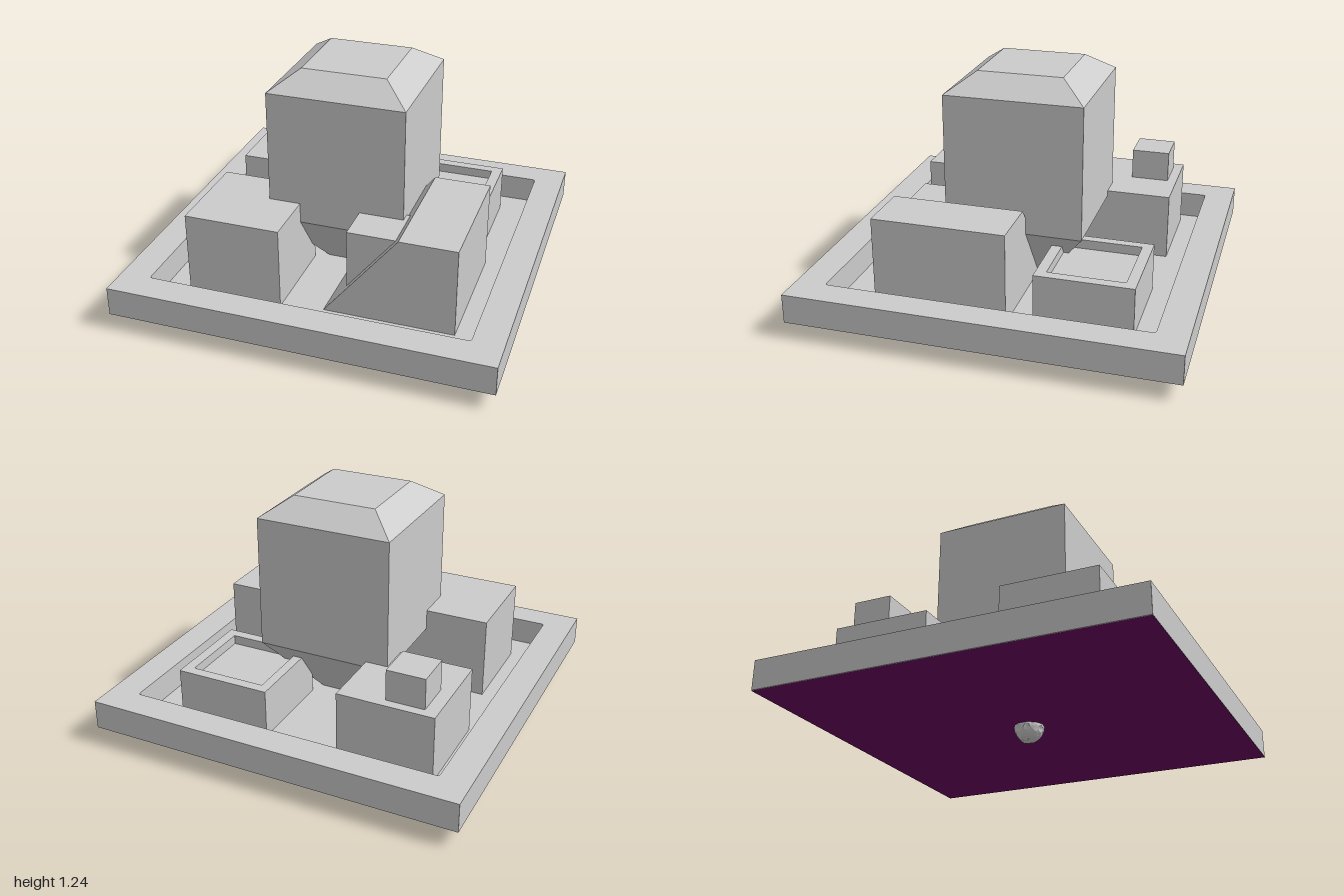
import * as THREE from 'three';

const grey = new THREE.MeshStandardMaterial({ color: 0xcccccc, flatShading: true });
const purple = new THREE.MeshStandardMaterial({ color: 0x6a0560 });
const FLOOR = 0.1;

export function createModel() {
  const model = new THREE.Group();

  const add = (name, geometry, material = grey) => {
    const mesh = new THREE.Mesh(geometry, material);
    mesh.name = name;
    model.add(mesh);
    return mesh;
  };

  const box = (name, x0, x1, y0, y1, z0, z1) =>
    add(name, new THREE.BoxGeometry(x1 - x0, y1 - y0, z1 - z0))
      .position.set((x0 + x1) / 2, (y0 + y1) / 2, (z0 + z1) / 2);

  // Traces a rectangle with rounded corners
  const rect = (path, x0, x1, y0, y1, r) => {
    path.moveTo(x0 + r, y0);
    path.lineTo(x1 - r, y0);
    path.quadraticCurveTo(x1, y0, x1, y0 + r);
    path.lineTo(x1, y1 - r);
    path.quadraticCurveTo(x1, y1, x1 - r, y1);
    path.lineTo(x0 + r, y1);
    path.quadraticCurveTo(x0, y1, x0, y1 - r);
    path.lineTo(x0, y0 + r);
    path.quadraticCurveTo(x0, y0, x0 + r, y0);
    return path;
  };

  // Horizontal rectangular ring: outer and inner are [x0, x1, z0, z1]
  const ring = (name, outer, inner, y0, y1, r = 0.001) => {
    const flip = ([a, b, c, d]) => [a, b, -d, -c];
    const shape = rect(new THREE.Shape(), ...flip(outer), 0.001);
    shape.holes.push(rect(new THREE.Path(), ...flip(inner), r));
    const geometry = new THREE.ExtrudeGeometry(shape, { depth: y1 - y0, bevelEnabled: false, curveSegments: 3 });
    add(name, geometry.rotateX(-Math.PI / 2).translate(0, y0, 0));
  };

  // Square frustum from half-widths
  const frustum = (name, bottom, top, y0, y1) => {
    const geometry = new THREE.CylinderGeometry(top * Math.SQRT2, bottom * Math.SQRT2, y1 - y0, 4);
    add(name, geometry.rotateY(Math.PI / 4).translate(0, (y0 + y1) / 2, 0));
  };

  // Square tray: rim, floor and coloured underside
  ring('trayRim', [-1, 1, -1, 1], [-0.84, 0.84, -0.84, 0.84], 0.09, 0.245, 0.015);
  add('trayFloor', new THREE.PlaneGeometry(1.7, 1.7).rotateX(-Math.PI / 2)).position.y = FLOOR;
  add('trayUnderside', new THREE.PlaneGeometry(2, 2).rotateX(Math.PI / 2), purple).position.y = 0.087;

  // Central tower on a narrowing foot, with a chamfered roof
  frustum('towerFoot', 0.125, 0.365, FLOOR, 0.43);
  box('towerBody', -0.365, 0.365, 0.43, 1.14, -0.365, 0.365);
  frustum('towerRoof', 0.365, 0.225, 1.14, 1.24);

  // Front block on the -x side
  box('plainBlock', -0.705, -0.195, FLOOR, 0.54, 0.16, 0.67);

  // Rear block with a small cube on top
  box('rearBlock', -0.76, -0.245, FLOOR, 0.46, -0.71, -0.2);
  box('rearBlockCube', -0.69, -0.485, 0.46, 0.625, -0.66, -0.455);

  // Low rear block with a sunken top
  box('lowBlock', 0.155, 0.665, FLOOR, 0.31, -0.705, -0.195);
  ring('lowBlockRim', [0.155, 0.665, -0.705, -0.195], [0.205, 0.61, -0.65, -0.25], 0.31, 0.36);

  // Block with one sloping side and a box set into the slope
  const slope = new THREE.Shape([[0.025, FLOOR], [0.715, FLOOR], [0.715, 0.58], [0.415, 0.58]]
    .map(([x, y]) => new THREE.Vector2(x, y)));
  add('slopedBlock', new THREE.ExtrudeGeometry(slope, { depth: 0.7, bevelEnabled: false })).position.z = -0.07;
  box('slopeBox', 0.13, 0.385, FLOOR, 0.545, 0.31, 0.57);

  // Small rough knob below the tray
  const knob = new THREE.IcosahedronGeometry(0.078, 4);
  const p = knob.attributes.position;
  const v = new THREE.Vector3();
  for (let i = 0; i < p.count; i++) {
    v.fromBufferAttribute(p, i);
    const bump = Math.sin(v.x * 110) * Math.sin(v.y * 130 + 1) * Math.sin(v.z * 120 + 2);
    const spur = v.x > 0.06 && v.y < -0.01 ? 1.12 : 1;
    v.multiplyScalar((1 + 0.06 * bump) * spur);
    p.setXYZ(i, v.x, v.y, v.z);
  }
  knob.computeVertexNormals();
  knob.computeBoundingBox();
  add('knob', knob).position.y = -knob.boundingBox.min.y;

  return model;
}
